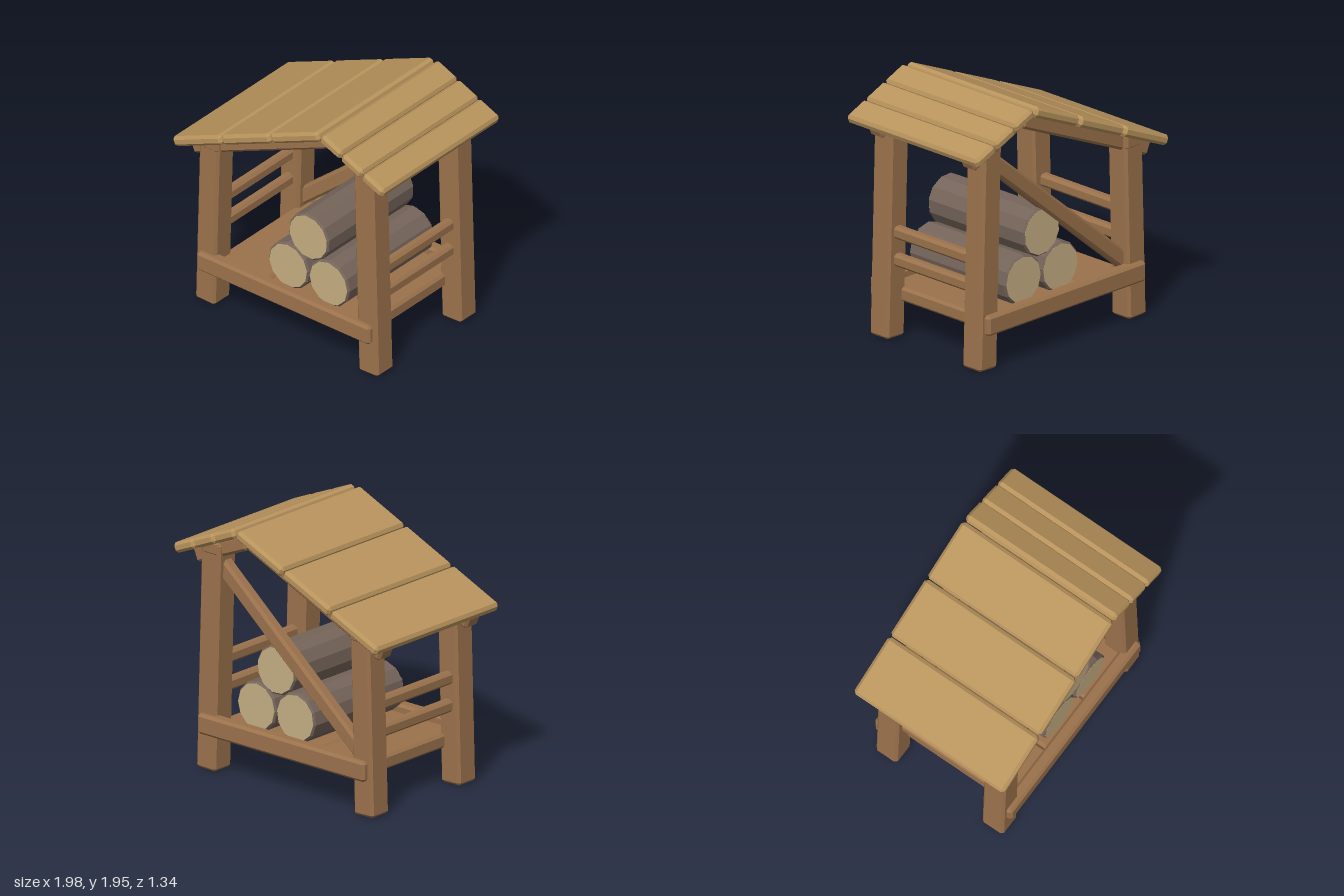
import * as THREE from 'three';
import { ConvexGeometry } from 'three/addons/geometries/ConvexGeometry.js';

const mat = (name, color, side = THREE.FrontSide) => {
  const m = new THREE.MeshStandardMaterial({ color, side });
  m.name = name;
  return m;
};

// Box with chamfered edges: three points at each corner
function chamferBox(w, h, d, c) {
  const pts = [];
  for (const sx of [-1, 1]) for (const sy of [-1, 1]) for (const sz of [-1, 1]) {
    const x = w / 2, y = h / 2, z = d / 2;
    pts.push(new THREE.Vector3(sx * x, sy * (y - c), sz * (z - c)));
    pts.push(new THREE.Vector3(sx * (x - c), sy * y, sz * (z - c)));
    pts.push(new THREE.Vector3(sx * (x - c), sy * (y - c), sz * z));
  }
  return new ConvexGeometry(pts);
}

export function createModel() {
  const model = new THREE.Group();
  model.name = 'firewoodShelter';
  const wood = mat('frameWood', 0x9b724c);
  const roofWood = mat('roofWood', 0xb8935c);
  const bark = mat('bark', 0x75645a);
  const cutWood = mat('cutWood', 0xc5ae82);

  const block = (name, w, h, d, x, y, z, c = 0.02, m = wood) => {
    const mesh = new THREE.Mesh(chamferBox(w, h, d, c), m);
    mesh.name = name;
    mesh.position.set(x, y, z);
    model.add(mesh);
    return mesh;
  };
  // Block whose centre line runs from a to b in the xy plane
  const beam = (name, a, b, thick, depth, z, c = 0.02, m = wood) => {
    const dx = b[0] - a[0], dy = b[1] - a[1];
    const mesh = block(name, Math.hypot(dx, dy), thick, depth,
      (a[0] + b[0]) / 2, (a[1] + b[1]) / 2, z, c, m);
    mesh.rotation.z = Math.atan2(dy, dx);
  };

  // Leaning posts, rafters and long rails, front and back
  for (const s of [1, -1]) {
    const end = s > 0 ? 'front' : 'back';
    beam(end + 'LowPost', [-0.765, 0.002], [-0.725, 1.42], 0.185, 0.19, s * 0.472);
    beam(end + 'TallPost', [0.765, 0.002], [0.715, 1.76], 0.185, 0.19, s * 0.472);
    beam(end + 'LongRafter', [-0.912, 1.262], [0.37, 1.818], 0.12, 0.14, s * 0.47);
    beam(end + 'ShortRafter', [0.41, 1.815], [0.895, 1.608], 0.12, 0.14, s * 0.47);
    block(end + 'Rail', 1.62, 0.155, 0.1, 0, 0.357, s * 0.56);
  }

  // Diagonal brace at the back
  beam('backBrace', [-0.72, 0.417], [0.72, 1.62], 0.125, 0.1, -0.47);

  // Cross beams under the roof
  block('lowCrossBeam', 0.155, 0.12, 1.15, -0.715, 1.38, 0);
  block('tallCrossBeam', 0.155, 0.11, 1.15, 0.715, 1.715, 0);

  // Side slats
  for (const x of [-0.75, 0.75])
    for (const y of [0.605, 0.818]) block('sideSlat', 0.08, 0.095, 0.9, x, y, 0);

  // Floor planks
  for (const x of [-0.477, 0, 0.477]) block('floorPlank', 0.472, 0.112, 1.04, x, 0.321, 0);

  // Roof planks, three on each slope
  const slope = (name, a, b) => {
    const gap = 0.003;
    const at = t => [a[0] + (b[0] - a[0]) * t, a[1] + (b[1] - a[1]) * t];
    for (let i = 0; i < 3; i++)
      beam(name, at(i / 3 + gap), at((i + 1) / 3 - gap), 0.08, 1.335, 0, 0.022, roofWood);
  };
  slope('longRoofPlank', [-0.986, 1.328], [0.385, 1.922]);
  slope('shortRoofPlank', [0.396, 1.922], [0.986, 1.668]);

  // Stacked logs with bevelled bark edge and pale cut ends
  const R = 0.19, r = 0.176, L = 0.49;
  const barkGeo = new THREE.LatheGeometry([[r, -L], [R, -L + 0.014], [R, L - 0.014], [r, L]]
    .map(p => new THREE.Vector2(...p)), 12).rotateX(Math.PI / 2).toNonIndexed();
  barkGeo.computeVertexNormals();
  const capGeo = new THREE.CylinderGeometry(r, r, 0.004, 12).rotateX(Math.PI / 2);
  [[-0.042, 0.568, 0.1], [0.335, 0.568, 0], [0.146, 0.888, 0.2]].forEach(([x, y, turn]) => {
    const log = new THREE.Group();
    log.name = 'log';
    log.position.set(x, y, 0);
    log.rotation.z = turn;
    const body = new THREE.Mesh(barkGeo, bark);
    body.name = 'logBark';
    log.add(body);
    for (const s of [1, -1]) {
      const cap = new THREE.Mesh(capGeo, cutWood);
      cap.name = 'logEnd';
      cap.position.z = s * (L - 0.001);
      log.add(cap);
    }
    model.add(log);
  });

  return model;
}
